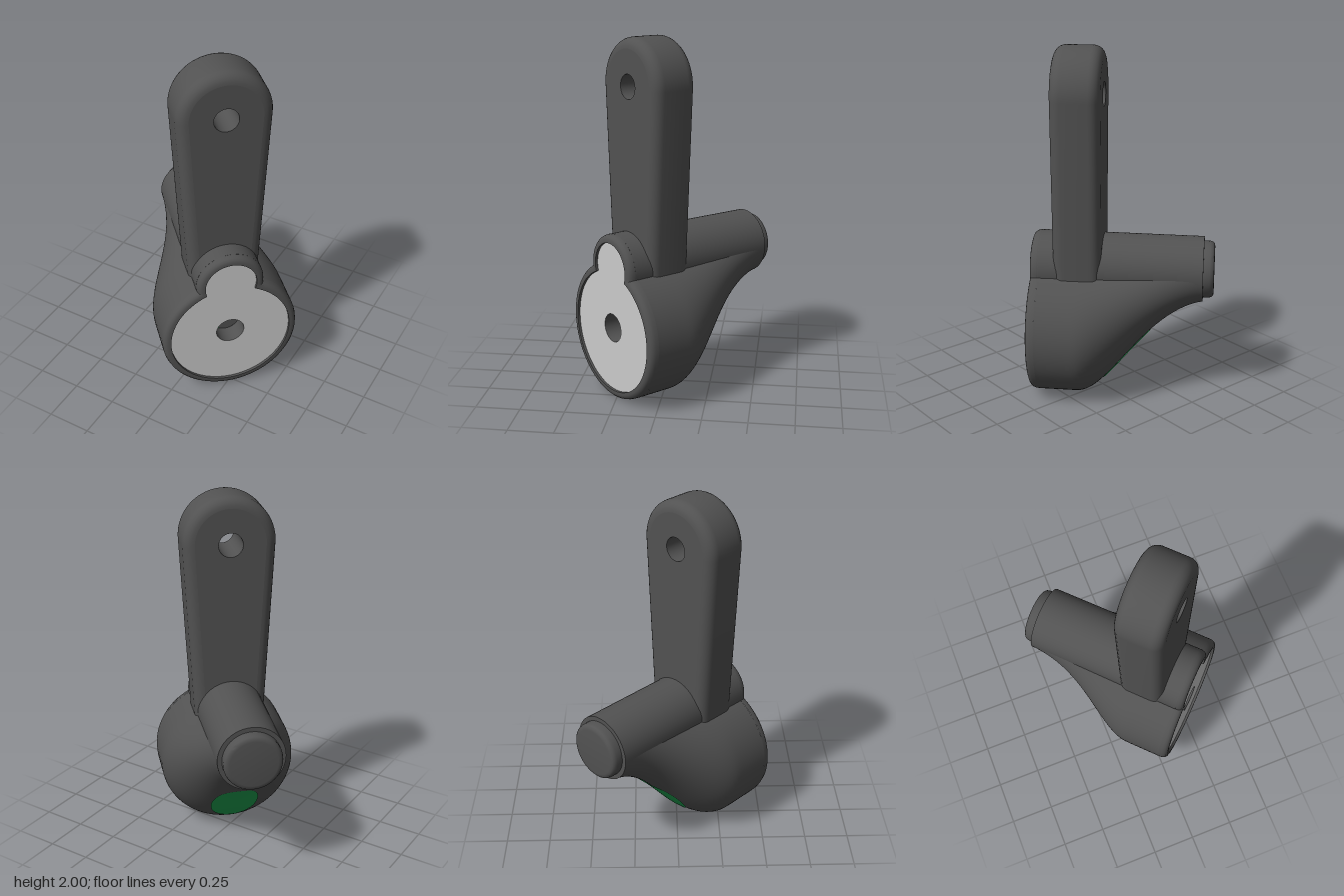
import * as THREE from 'three';
import { toCreasedNormals } from 'three/addons/utils/BufferGeometryUtils.js';

const dark = new THREE.MeshStandardMaterial({ color: 0x525252 });
const darkOpen = new THREE.MeshStandardMaterial({ color: 0x525252, side: THREE.DoubleSide });
const grey = new THREE.MeshStandardMaterial({ color: 0xcccccc });
const green = new THREE.MeshStandardMaterial({ color: 0x1fa050 });

const TUBE_Y = 0.755, TUBE_R = 0.184, BODY_R = 0.39, BODY_Y = 0.391;
const FRONT = 0.39, RECESS = 0.375, REAR = -0.573;

// Skin over closed rings of equal length, anticlockwise seen from +z
function loft(rings) {
  const n = rings[0].length, index = [];
  for (let i = 0; i < rings.length - 1; i++) {
    for (let j = 0; j < n; j++) {
      const k = (j + 1) % n, a = i * n, b = a + n;
      index.push(a + j, a + k, b + k, a + j, b + k, b + j);
    }
  }
  const geo = new THREE.BufferGeometry().setFromPoints(rings.flat());
  geo.setIndex(index);
  return toCreasedNormals(geo, 0.6);
}

const at = (points, z) => points.map((p) => new THREE.Vector3(p.x, p.y, z));

function arc(cy, r, from, to, steps) {
  return Array.from({ length: steps + 1 }, (_, i) => {
    const t = from + ((to - from) * i) / steps;
    return new THREE.Vector2(r * Math.cos(t), cy + r * Math.sin(t));
  });
}

function withHole(points, y, r) {
  const shape = new THREE.Shape(points);
  shape.holes.push(new THREE.Path().absarc(0, y, r, 0, Math.PI * 2, true));
  return new THREE.ShapeGeometry(shape, 32);
}

// Cylinder lying along z
function zCylinder(rFront, rBack, z0, z1, y, open = false) {
  return new THREE.CylinderGeometry(rFront, rBack, z1 - z0, 48, 1, open)
    .rotateX(Math.PI / 2).translate(0, y, (z0 + z1) / 2);
}

// Horn body: round section that narrows backwards into the tube
function bodyPoint(z, angle, lift = 0) {
  const t = Math.min(1, Math.max(0, (z - REAR) / 0.7)) ** 1.4;
  const r = TUBE_R + (BODY_R - TUBE_R) * t * t * (3 - 2 * t);
  const cy = TUBE_Y - 1.06 * Math.sqrt(r * r - TUBE_R * TUBE_R);
  return new THREE.Vector3((r + lift) * Math.cos(angle), cy + (r + lift) * Math.sin(angle), z);
}

// Keyhole outline: body circle joined with the smaller boss circle, inset by d
function keyhole(d) {
  const R = BODY_R - d, r = 0.19 - d, D = TUBE_Y - BODY_Y;
  const a = (D * D + R * R - r * r) / (2 * D), h = Math.sqrt(R * R - a * a);
  const s = Math.atan2(a - D, h), b = Math.atan2(a, h);
  return [
    ...arc(TUBE_Y, r, s, Math.PI - s, 28),
    ...arc(BODY_Y, R, Math.PI - b, Math.PI * 2 + b, 72).slice(1, -1),
  ];
}

// Tapered arm outline with a round top, inset by d
function armOutline(d) {
  return [
    new THREE.Vector2(0.193 - d, 0.6),
    ...arc(1.745, 0.255 - d, -0.05, Math.PI + 0.05, 40),
    new THREE.Vector2(-0.193 + d, 0.6),
  ];
}

export function createModel() {
  const model = new THREE.Group();
  const turned = new THREE.Group();
  turned.name = 'turnedAssembly';
  turned.rotation.y = 0.767;
  model.add(turned);
  const add = (name, geo, mat = dark) => {
    const mesh = new THREE.Mesh(geo, mat);
    mesh.name = name;
    turned.add(mesh);
  };

  // Body
  const bodyRings = [];
  for (let i = 0; i <= 40; i++) {
    const z = REAR + 0.003 + (0.34 - REAR - 0.003) * (i / 40);
    bodyRings.push(Array.from({ length: 72 }, (_, j) => bodyPoint(z, (j / 72) * Math.PI * 2)));
  }
  add('body', loft(bodyRings));

  // Rounded front rim with a shallow recess
  const rim = [[0.34, 0], [0.36, 0.001], [0.375, 0.006], [0.385, 0.015], [FRONT, 0.028], [FRONT, 0.045], [RECESS - 0.002, 0.045]];
  add('frontRim', loft(rim.map(([z, d]) => at(keyhole(d), z))));

  // Grey face plate and its blind bore
  add('facePlate', withHole(keyhole(0.045), 0.41, 0.08).translate(0, 0, RECESS), grey);
  add('boreWall', zCylinder(0.08, 0.08, 0.27, RECESS, 0.41, true), darkOpen);
  add('boreFloor', new THREE.CircleGeometry(0.08, 32).translate(0, 0.41, 0.27));

  // Tube along the top, with a smaller rounded end cap
  add('tube', zCylinder(0.19, 0.185, REAR, 0.35, TUBE_Y));
  const cap = [[0.16, 0], [0.16, 0.035], [0.155, 0.05], [0.145, 0.058], [0.13, 0.06], [0, 0.06]]
    .map(([r, h]) => new THREE.Vector2(r, h));
  add('endCap', toCreasedNormals(new THREE.LatheGeometry(cap, 48), 0.7)
    .rotateX(-Math.PI / 2).translate(0, TUBE_Y, REAR));

  // Upright arm with rounded edges and a through hole
  const back = -0.01, front = 0.26, round = 0.06, armRings = [];
  for (const side of [-1, 1]) {
    for (let i = 0; i <= 6; i++) {
      const t = ((side < 0 ? 6 - i : i) / 6) * (Math.PI / 2);
      const z = (side < 0 ? back : front) - side * round * (1 - Math.sin(t));
      armRings.push(at(armOutline(round * (1 - Math.cos(t))), z));
    }
  }
  add('armEdge', loft(armRings));
  const face = withHole(armOutline(round), 1.74, 0.067);
  add('armFront', face.clone().translate(0, 0, front));
  add('armBack', face.clone().rotateY(Math.PI).translate(0, 0, back));
  add('armHole', zCylinder(0.067, 0.067, back, front, 1.74, true), darkOpen);

  // Green oval inlay following the underside of the body
  const patch = [];
  for (let i = 0; i <= 8; i++) {
    patch.push(Array.from({ length: 40 }, (_, j) => {
      const t = (j / 40) * Math.PI * 2, s = 1 - i / 8;
      return bodyPoint(-0.145 + 0.15 * s * Math.sin(t), -Math.PI / 2 + 0.47 * s * Math.cos(t), 0.006);
    }));
  }
  const inlay = loft(patch.map((ring) => ring.reverse()));
  inlay.computeVertexNormals();
  add('greenInlay', toCreasedNormals(inlay, 0.8), new THREE.MeshStandardMaterial({ color: green.color, side: THREE.DoubleSide }));

  return model;
}
